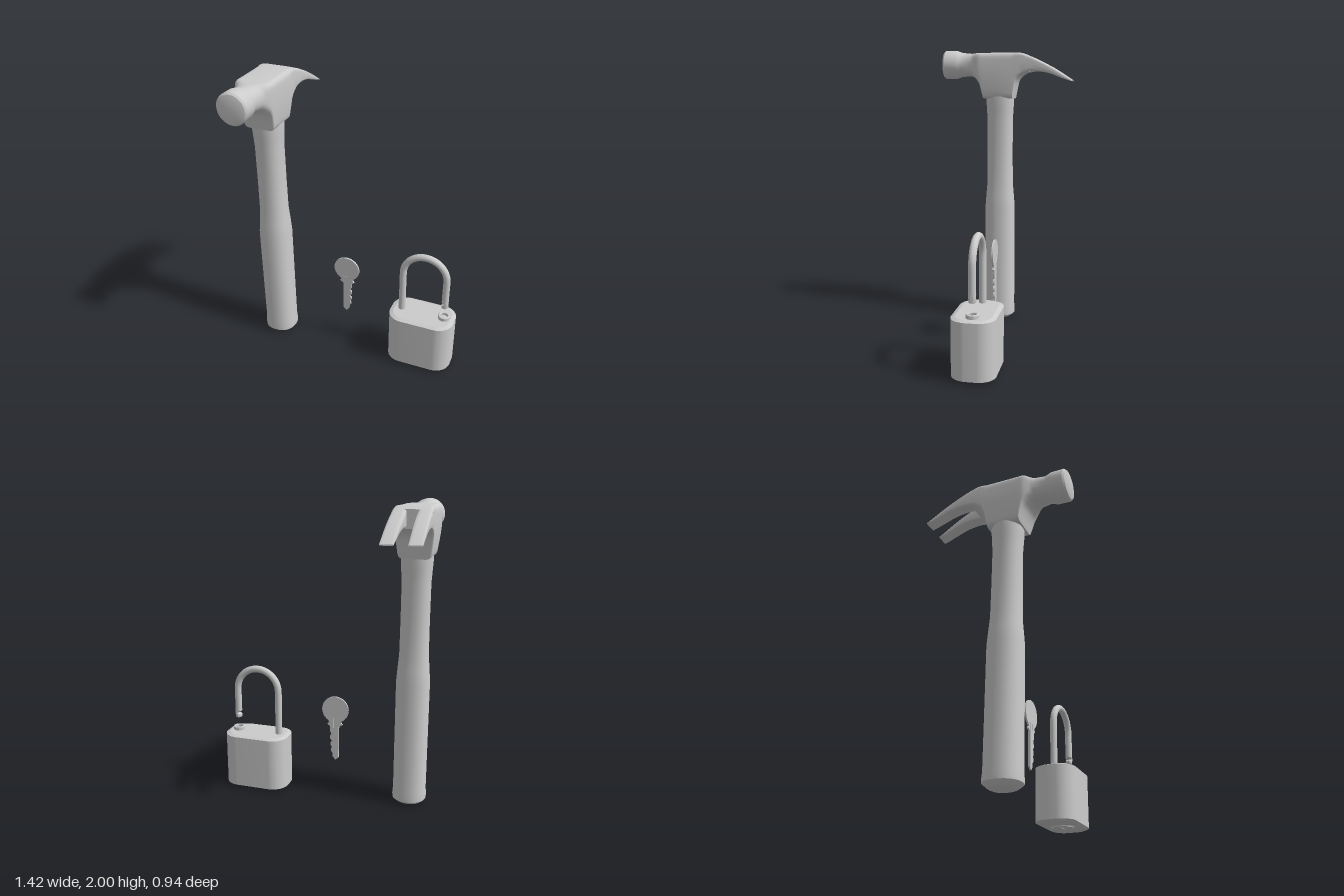
import * as THREE from 'three';
import { toCreasedNormals } from 'three/addons/utils/BufferGeometryUtils.js';

const material = new THREE.MeshStandardMaterial({ color: 0xcccccc });

function add(parent, name, geometry, x = 0, y = 0, z = 0) {
  const mesh = new THREE.Mesh(geometry, material);
  mesh.name = name;
  mesh.position.set(x, y, z);
  parent.add(mesh);
  return mesh;
}

// Closed skin over superellipse sections [z, cx, cy, halfX, halfY, exponent], z increasing.
function loft(sections, crease = 0.6, bend = null, n = 40) {
  const pos = [], index = [];
  const power = (v, e) => Math.sign(v) * Math.pow(Math.abs(v) < 1e-9 ? 0 : Math.abs(v), 2 / e);
  for (const [z, cx, cy, hx, hy, e] of sections) {
    for (let j = 0; j < n; j++) {
      const a = (j / n) * Math.PI * 2;
      const y = cy + hy * power(Math.sin(a), e);
      const x = cx + hx * power(Math.cos(a), e);
      pos.push(bend ? bend(x, y) : x, y, z);
    }
  }
  const rows = sections.length;
  for (let i = 0; i < rows - 1; i++) {
    for (let j = 0; j < n; j++) {
      const k = (j + 1) % n, a = i * n + j, b = i * n + k;
      index.push(a, b, b + n, a, b + n, a + n);
    }
  }
  // end caps
  for (const r of [0, rows - 1]) {
    const c = pos.length / 3, s = sections[r];
    pos.push(s[1], s[2], s[0]);
    for (let j = 0; j < n; j++) {
      const a = r * n + j, b = r * n + (j + 1) % n;
      if (r === 0) index.push(c, b, a); else index.push(c, a, b);
    }
  }
  const g = new THREE.BufferGeometry();
  g.setAttribute('position', new THREE.Float32BufferAttribute(pos, 3));
  g.setIndex(index);
  return toCreasedNormals(g, crease);
}

// Section given by its bottom and top heights
const slab = (z, y0, y1, hx, e, cx = 0) => [z, cx, (y0 + y1) / 2, hx, (y1 - y0) / 2, e];

function createHammer() {
  const hammer = new THREE.Group();
  hammer.name = 'hammer';

  // Handle, lofted upwards
  const handle = [
    [0.005, 0.07], [0.012, 0.085], [0.035, 0.112], [0.06, 0.113], [0.1, 0.109], [0.85, 0.109],
    [0.94, 0.102], [1.03, 0.094], [1.25, 0.092], [1.5, 0.092], [1.58, 0.097], [1.64, 0.101], [1.67, 0.101],
  ].map(([y, r]) => [y, 0, 0, r, r, 2.3]);
  add(hammer, 'handle', loft(handle, 0.7).rotateX(-Math.PI / 2), 0, 0, 0.055);

  // Cheeks narrow towards the handle
  const cheek = (x, y) => x * (y < 1.82 ? 1 - 0.15 * (1.82 - y) / 0.165 : 1);
  add(hammer, 'head', loft([
    slab(-0.16, 1.845, 1.96, 0.122, 9), slab(-0.13, 1.835, 1.973, 0.122, 9),
    slab(-0.1, 1.815, 1.98, 0.122, 9), slab(-0.08, 1.795, 1.98, 0.122, 9),
    slab(-0.068, 1.765, 1.98, 0.122, 9), slab(-0.058, 1.71, 1.98, 0.122, 9),
    slab(-0.048, 1.655, 1.98, 0.122, 9), slab(0.06, 1.655, 1.98, 0.122, 9),
    slab(0.166, 1.655, 1.98, 0.122, 9), slab(0.178, 1.7, 1.98, 0.122, 9),
    slab(0.19, 1.75, 1.98, 0.122, 8), slab(0.21, 1.785, 1.98, 0.12, 6),
    slab(0.235, 1.805, 1.979, 0.106, 3.5), slab(0.26, 1.813, 1.977, 0.097, 2.5),
    slab(0.33, 1.812, 1.984, 0.089, 2), slab(0.35, 1.805, 1.99, 0.095, 2),
    slab(0.375, 1.797, 1.999, 0.101, 2), slab(0.455, 1.795, 2.0, 0.1025, 2),
    slab(0.467, 1.805, 1.99, 0.093, 2), slab(0.474, 1.83, 1.965, 0.067, 2),
  ], 0.6, cheek));

  // Claws, mirrored, with the slot opening slightly to the tips
  const profile = [
    [-0.47, 1.778, 1.786, 0.041], [-0.43, 1.79, 1.813, 0.04], [-0.38, 1.808, 1.846, 0.038],
    [-0.33, 1.828, 1.876, 0.036], [-0.28, 1.842, 1.903, 0.034], [-0.23, 1.849, 1.928, 0.033],
    [-0.19, 1.849, 1.947, 0.033], [-0.15, 1.843, 1.964, 0.033],
  ];
  for (const s of [-1, 1]) {
    const claw = profile.map(([z, y0, y1, inner]) =>
      slab(z, y0, y1, (0.122 - inner) / 2, 6, s * (0.122 + inner) / 2));
    add(hammer, s > 0 ? 'leftClaw' : 'rightClaw', loft(claw));
  }
  hammer.position.x = -0.591;
  return hammer;
}

function createKey() {
  const key = new THREE.Group();
  key.name = 'key';
  // Outline from the bow, down the toothed edge, round the tip and up the spine
  const shape = new THREE.Shape();
  shape.absarc(0, 0.615, 0.092, -2.0, -1.14 + Math.PI * 2, true);
  const edge = [
    [0.04, 0.555], [0.052, 0.545], [0.043, 0.525], [0.056, 0.51], [0.036, 0.495], [0.036, 0.46],
    [0.026, 0.44], [0.036, 0.425], [0.036, 0.405], [0.022, 0.39], [0.034, 0.375], [0.034, 0.36],
    [0.022, 0.345], [0.03, 0.33], [0.03, 0.315], [0.016, 0.3], [0.016, 0.275], [-0.002, 0.252],
    [-0.026, 0.272], [-0.026, 0.495], [-0.052, 0.51], [-0.04, 0.525], [-0.05, 0.545], [-0.038, 0.555],
  ];
  shape.setFromPoints([
    ...new THREE.EllipseCurve(0, 0.615, 0.092, 0.092, -2.0, -1.14, true).getPoints(48),
    ...edge.map(([x, y]) => new THREE.Vector2(x, y)),
  ]);
  const hole = new THREE.Path();
  hole.absarc(0, 0.65, 0.027, 0, Math.PI * 2, false);
  shape.holes.push(hole);
  const plate = new THREE.ExtrudeGeometry(shape, { depth: 0.012, bevelEnabled: false, curveSegments: 24 });
  add(key, 'keyPlate', toCreasedNormals(plate, 0.5), 0, 0, -0.006);
  // Raised bands along the blade
  add(key, 'bladeSpine', new THREE.BoxGeometry(0.026, 0.28, 0.016), -0.011, 0.415, 0);
  add(key, 'bladeRidge', new THREE.BoxGeometry(0.008, 0.25, 0.016), 0.017, 0.43, 0);
  key.position.x = -0.08;
  return key;
}

function createPadlock() {
  const lock = new THREE.Group();
  lock.name = 'padlock';

  // Case: rounded rectangle with bevelled rims
  const w = 0.199, d = 0.113, r = 0.082;
  const s = new THREE.Shape();
  s.absarc(w - r, d - r, r, 0, Math.PI / 2);
  s.absarc(r - w, d - r, r, Math.PI / 2, Math.PI);
  s.absarc(r - w, r - d, r, Math.PI, Math.PI * 1.5);
  s.absarc(w - r, r - d, r, Math.PI * 1.5, Math.PI * 2);
  const body = new THREE.ExtrudeGeometry(s, {
    depth: 0.36, bevelThickness: 0.01, bevelSize: 0.026, bevelSegments: 1, curveSegments: 10,
  });
  add(lock, 'case', toCreasedNormals(body.rotateX(-Math.PI / 2), 0.35), 0, 0.025, 0);

  // Shackle: long leg, arch and short leg
  const path = new THREE.CurvePath();
  const points = [new THREE.Vector3(-0.151, 0.38, 0), new THREE.Vector3(-0.151, 0.54, 0)];
  for (let i = 0; i <= 16; i++) {
    const a = Math.PI * (1 - i / 16);
    points.push(new THREE.Vector3(0.151 * Math.cos(a), 0.7 + 0.151 * Math.sin(a), 0));
  }
  points.push(new THREE.Vector3(0.151, 0.62, 0), new THREE.Vector3(0.151, 0.54, 0));
  path.add(new THREE.CatmullRomCurve3(points));
  add(lock, 'shackle', new THREE.TubeGeometry(path, 96, 0.0235, 20, false));

  // Short leg end with a latch notch on its inner side
  const tip = [[0.488, 0.02, 0.13], [0.493, 0.0235, 0.1275], [0.507, 0.0235, 0.1275], [0.52, 0.0135, 0.148],
    [0.534, 0.0235, 0.1275], [0.542, 0.0235, 0.1275]]
    .map(([y, h, x0]) => [y, x0 + h, 0, h, 0.0235, 2]);
  add(lock, 'shackleTip', loft(tip).rotateX(-Math.PI / 2));

  // Raised socket for the short leg
  const ring = [[0.025, 0.35], [0.025, 0.416], [0.029, 0.42], [0.036, 0.42], [0.04, 0.416], [0.04, 0.385]];
  const lathe = (pts) => toCreasedNormals(
    new THREE.LatheGeometry(pts.map(([x, y]) => new THREE.Vector2(x, y)).reverse(), 32), 0.5);
  const socket = add(lock, 'socketRing', lathe(ring), 0.151, 0, 0);
  socket.material = material.clone();
  socket.material.side = THREE.DoubleSide;
  add(lock, 'socketFloor', new THREE.CylinderGeometry(0.026, 0.026, 0.004, 32), 0.151, 0.397, 0);

  // Key cylinder underneath, with rim and keyway
  add(lock, 'cylinderRim', new THREE.TorusGeometry(0.075, 0.005, 8, 40).rotateX(Math.PI / 2), 0, 0.015, 0);
  add(lock, 'keyCylinder', new THREE.CylinderGeometry(0.066, 0.066, 0.01, 40), 0, 0.014, 0);
  add(lock, 'keyway', new THREE.BoxGeometry(0.07, 0.006, 0.012), 0, 0.009, 0);

  lock.position.set(0.483, 0, -0.003);
  return lock;
}

export function createModel() {
  const model = new THREE.Group();
  model.name = 'hammerKeyAndPadlock';
  model.add(createHammer(), createKey(), createPadlock());
  return model;
}
